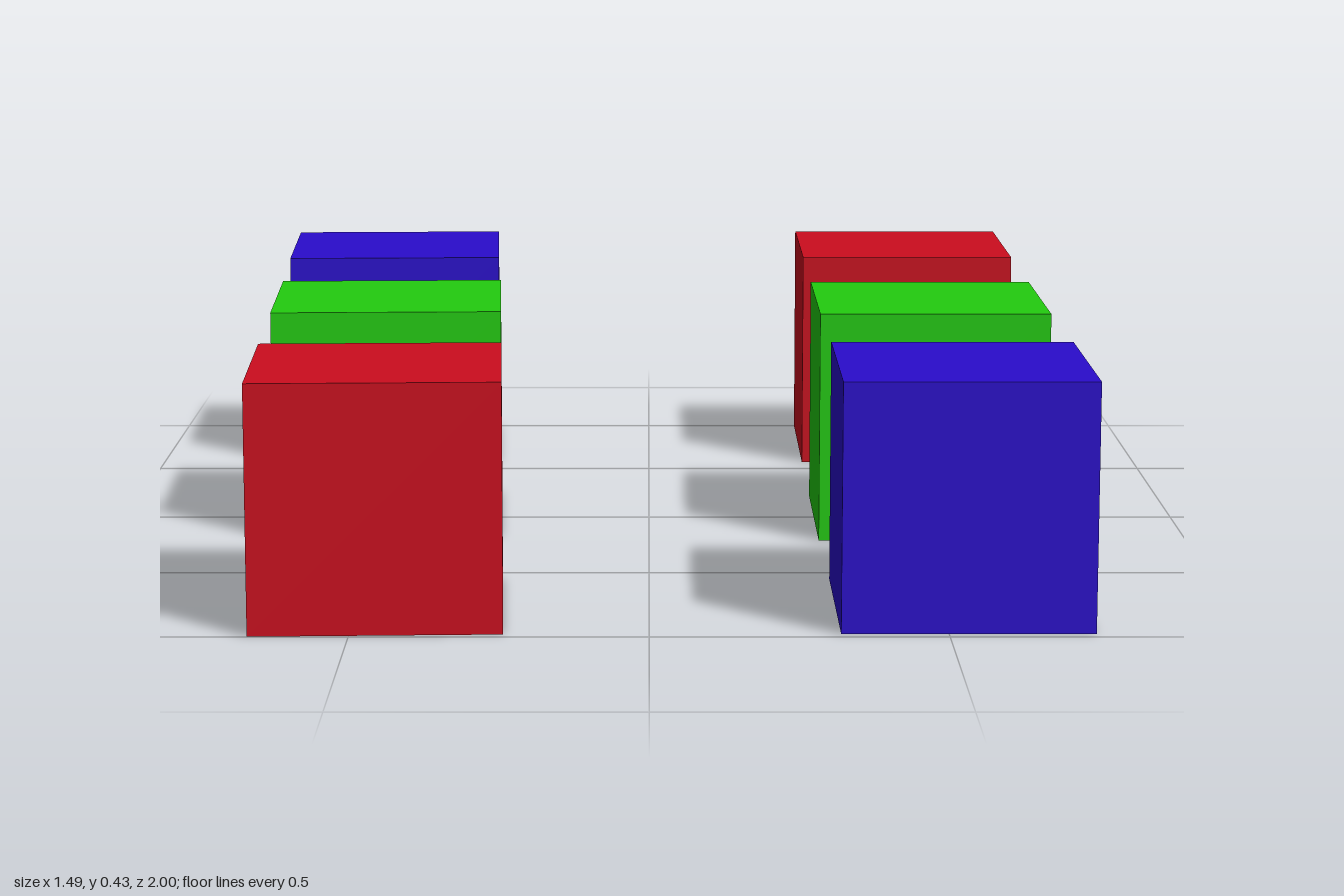
import * as THREE from 'three';

const SIZE = 0.426;
const COLORS = { red: 0xcc0d1e, green: 0x23cc0f, blue: 0x2a0ccc };

export function createModel() {
  const model = new THREE.Group();
  model.name = 'cubeGrid';
  const geometry = new THREE.BoxGeometry(SIZE, SIZE, SIZE);
  const materials = {};
  for (const [name, color] of Object.entries(COLORS)) {
    materials[name] = new THREE.MeshStandardMaterial({ color });
  }

  // A row of cubes: [colour, x, z], all turned by the same angle
  function addRow(side, turn, cubes) {
    const row = new THREE.Group();
    row.name = side + 'Row';
    for (const [color, x, z] of cubes) {
      const cube = new THREE.Mesh(geometry, materials[color]);
      cube.name = `${side}${color[0].toUpperCase()}${color.slice(1)}Cube`;
      cube.position.set(x, SIZE / 2, z);
      cube.rotation.y = turn;
      row.add(cube);
    }
    model.add(row);
  }

  // Straight row on the left, back to front
  addRow('left', 0, [['red', 0.529, -0.787], ['green', 0.529, 0.005], ['blue', 0.533, 0.766]]);
  // Slightly turned row on the right, back to front
  addRow('right', 0.038, [['blue', -0.528, -0.777], ['green', -0.495, -0.018], ['red', -0.464, 0.777]]);

  return model;
}
